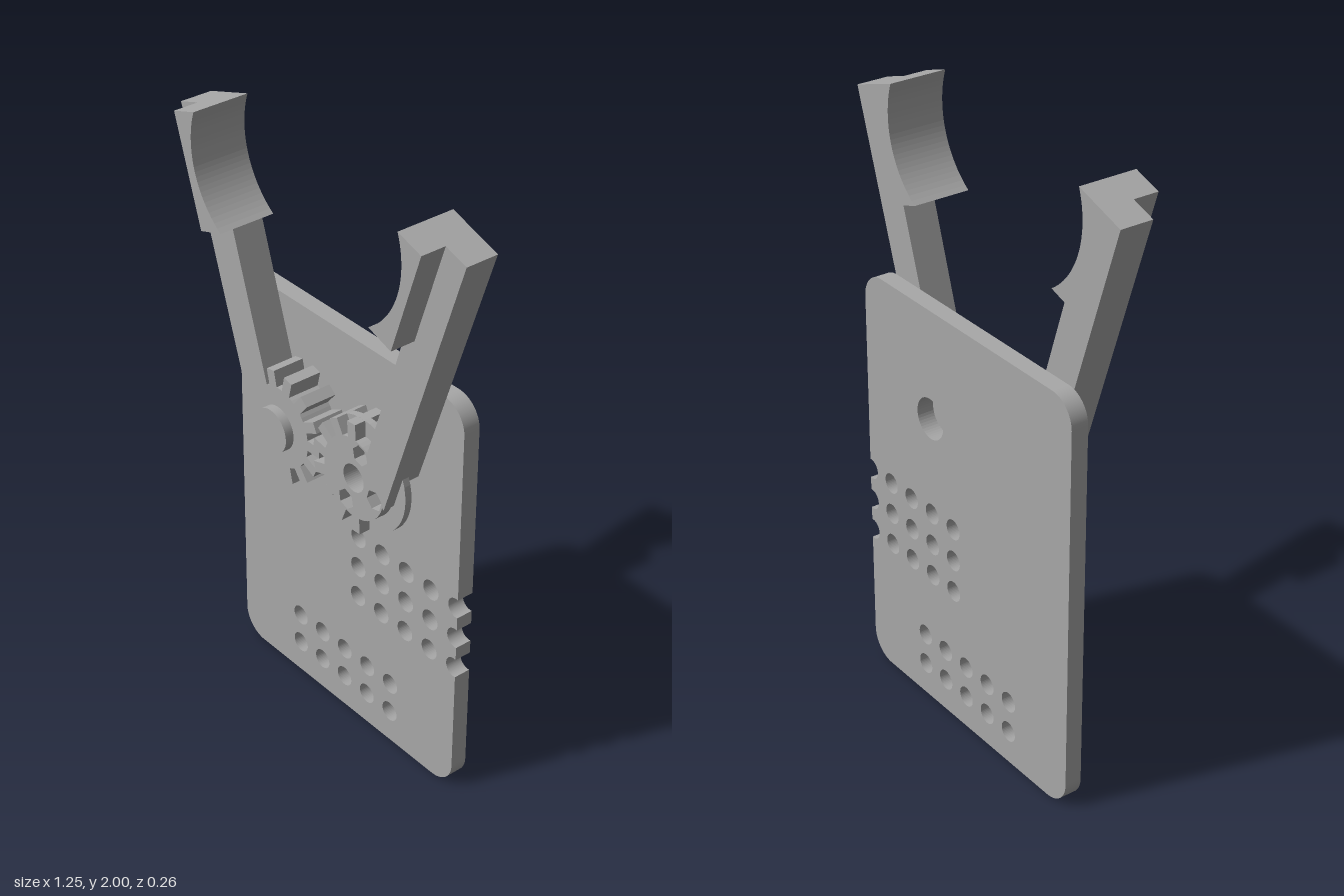
import * as THREE from 'three';

const grey = new THREE.MeshStandardMaterial({ color: 0xa8a8a8 });
grey.name = 'grey plastic';

const Z_BACK = -0.066, Z_FRONT = 0.043, Z_POCKET = -0.018, Z_DISC = 0.005;
const HUB = { x: 0.174, y: 1.035 };
const ROOT = 0.135, TIP = 0.188, POCKET = 0.168, BORE = 0.046;
const rad = THREE.MathUtils.degToRad;

function slab(name, shape, z0, z1) {
  const geo = new THREE.ExtrudeGeometry(shape, { depth: z1 - z0, bevelEnabled: false, curveSegments: 24 });
  geo.translate(0, 0, z0);
  const mesh = new THREE.Mesh(geo, grey);
  mesh.name = name;
  return mesh;
}

function circlePath(x, y, r) {
  return new THREE.Path().absarc(x, y, r, 0, Math.PI * 2, false);
}

// point around a hub; side is +1 for the +x hub, -1 for the mirrored one
function polar(side, deg, r) {
  return new THREE.Vector2(side * (HUB.x + r * Math.cos(rad(deg))), HUB.y + r * Math.sin(rad(deg)));
}

// point on an arm: a runs down the outer edge, w runs inwards
function armPoint(side, a, w) {
  return new THREE.Vector2(side * (0.623 - 0.313 * a - 0.95 * w), 1.942 - 0.95 * a + 0.313 * w);
}

// concave gripping curve of a jaw
function jawCurve(side) {
  const half = 0.181, sag = 0.063, R = (half * half + sag * sag) / (2 * sag);
  const pts = [];
  for (let i = 0; i <= 24; i++) {
    const t = -half + (2 * half * i) / 24;
    pts.push(armPoint(side, half + t, 0.187 - (Math.sqrt(R * R - t * t) - (R - sag))));
  }
  return pts;
}

// arm outline ending in an arc round the hub
function armShape(side, r, from, to, heel) {
  const pts = [armPoint(side, 0, 0), ...jawCurve(side), armPoint(side, 0.362, 0.125)];
  for (let i = 0; i <= 12; i++) pts.push(polar(side, from + ((to - from) * i) / 12, r));
  if (heel) pts.push(armPoint(side, 0.997, 0));
  return new THREE.Shape(pts);
}

function jaw(side, name) {
  const pts = [armPoint(side, 0, 0.087), ...jawCurve(side), armPoint(side, 0.362, 0.087)];
  return slab(name, new THREE.Shape(pts), Z_FRONT, 0.127);
}

// eight teeth on the side facing the other gear, plain arc elsewhere
function toothAngles(first) {
  return Array.from({ length: 8 }, (_, i) => 180 - first + i * 25.7);
}

function gearShape(side, teeth) {
  const pts = [];
  for (const c of teeth) {
    pts.push(polar(side, c - 7.5, ROOT), polar(side, c - 5.5, TIP));
    pts.push(polar(side, c + 5.5, TIP), polar(side, c + 7.5, ROOT));
    pts.push(polar(side, c + 12.85, ROOT));
  }
  const start = teeth[7] + 18, end = teeth[0] + 352;
  for (let i = 0; i <= 24; i++) pts.push(polar(side, start + ((end - start) * i) / 24, ROOT));
  return new THREE.Shape(pts);
}

function pin(name, r, z0, z1) {
  const geo = new THREE.CylinderGeometry(r, r, z1 - z0, 40);
  geo.rotateX(Math.PI / 2);
  const mesh = new THREE.Mesh(geo, grey);
  mesh.name = name;
  mesh.position.set(-HUB.x, HUB.y, (z0 + z1) / 2);
  return mesh;
}

// rounded plate with two hole grids, the outer column cutting the edge
function backPlate() {
  const w = 0.515, h = 1.4, c = 0.09, r = 0.034;
  const rows = [0.476, 0.588, 0.7];
  const s = new THREE.Shape();
  s.moveTo(-w + c, 0);
  s.lineTo(w - c, 0);
  s.absarc(w - c, c, c, -Math.PI / 2, 0, false);
  const a = Math.acos(0.007 / r);
  for (const y of rows) s.absarc(w - 0.007, y, r, -a, a, true);
  s.absarc(w - c, h - c, c, 0, Math.PI / 2, false);
  s.absarc(-w + c, h - c, c, Math.PI / 2, Math.PI, false);
  s.absarc(-w + c, c, c, Math.PI, Math.PI * 1.5, false);
  for (const y of rows)
    for (let i = 0; i < 4; i++) s.holes.push(circlePath(0.061 + i * 0.1117, y, r));
  for (const y of [0.114, 0.225])
    for (let i = 0; i < 5; i++) s.holes.push(circlePath(-0.225 + i * 0.1113, y, r));
  s.holes.push(circlePath(HUB.x, HUB.y, 0.068));
  return slab('backPlate', s, -0.13, -0.073);
}

export function createModel() {
  const model = new THREE.Group();
  model.name = 'gearedGripper';
  model.add(backPlate());

  // idle arm, turning on a headed pin
  const idle = new THREE.Group();
  idle.name = 'rightArm';
  idle.add(
    slab('rightArmBar', armShape(-1, 0.13, 63, -15, true), Z_BACK, Z_FRONT),
    jaw(-1, 'rightJaw'),
    slab('rightGear', gearShape(-1, toothAngles(103)), Z_BACK, Z_FRONT),
    pin('pivotShaft', 0.04, -0.075, 0.05),
    pin('pivotCap', 0.073, 0.048, 0.077)
  );
  model.add(idle);

  // driven arm, hollowed behind the hub
  const driven = new THREE.Group();
  driven.name = 'leftArm';
  const teeth = toothAngles(86);
  const gear = gearShape(1, teeth);
  const disc = new THREE.Shape().absarc(HUB.x, HUB.y, TIP, 0, Math.PI * 2, false);
  gear.holes.push(circlePath(HUB.x, HUB.y, BORE));
  disc.holes.push(circlePath(HUB.x, HUB.y, BORE));

  // three hexagonal nut seats with screw holes below
  for (const deg of [73, -17, -110]) {
    const p = polar(1, deg, 0.098);
    const hex = [];
    for (let i = 0; i < 6; i++) {
      const t = rad(deg + 30 + i * 60);
      hex.push(new THREE.Vector2(p.x + 0.034 * Math.cos(t), p.y + 0.034 * Math.sin(t)));
    }
    gear.holes.push(new THREE.Path(hex));
    disc.holes.push(circlePath(p.x, p.y, 0.021));
  }
  driven.add(
    slab('leftArmBarFront', armShape(1, 0.134, 63, -15, true), Z_POCKET, Z_FRONT),
    slab('leftArmBarBack', armShape(1, POCKET, 66, 16, false), Z_BACK, Z_POCKET),
    jaw(1, 'leftJaw'),
    slab('leftGear', gear, Z_DISC, Z_FRONT),
    slab('hubDisc', disc, Z_POCKET, Z_DISC)
  );

  // tooth tips left standing round the hollow
  for (const c of teeth) {
    const tip = [polar(1, c - 6, POCKET), polar(1, c - 5.5, TIP), polar(1, c + 5.5, TIP), polar(1, c + 6, POCKET)];
    driven.add(slab('toothTip', new THREE.Shape(tip), Z_BACK, Z_POCKET));
  }
  model.add(driven);
  return model;
}
